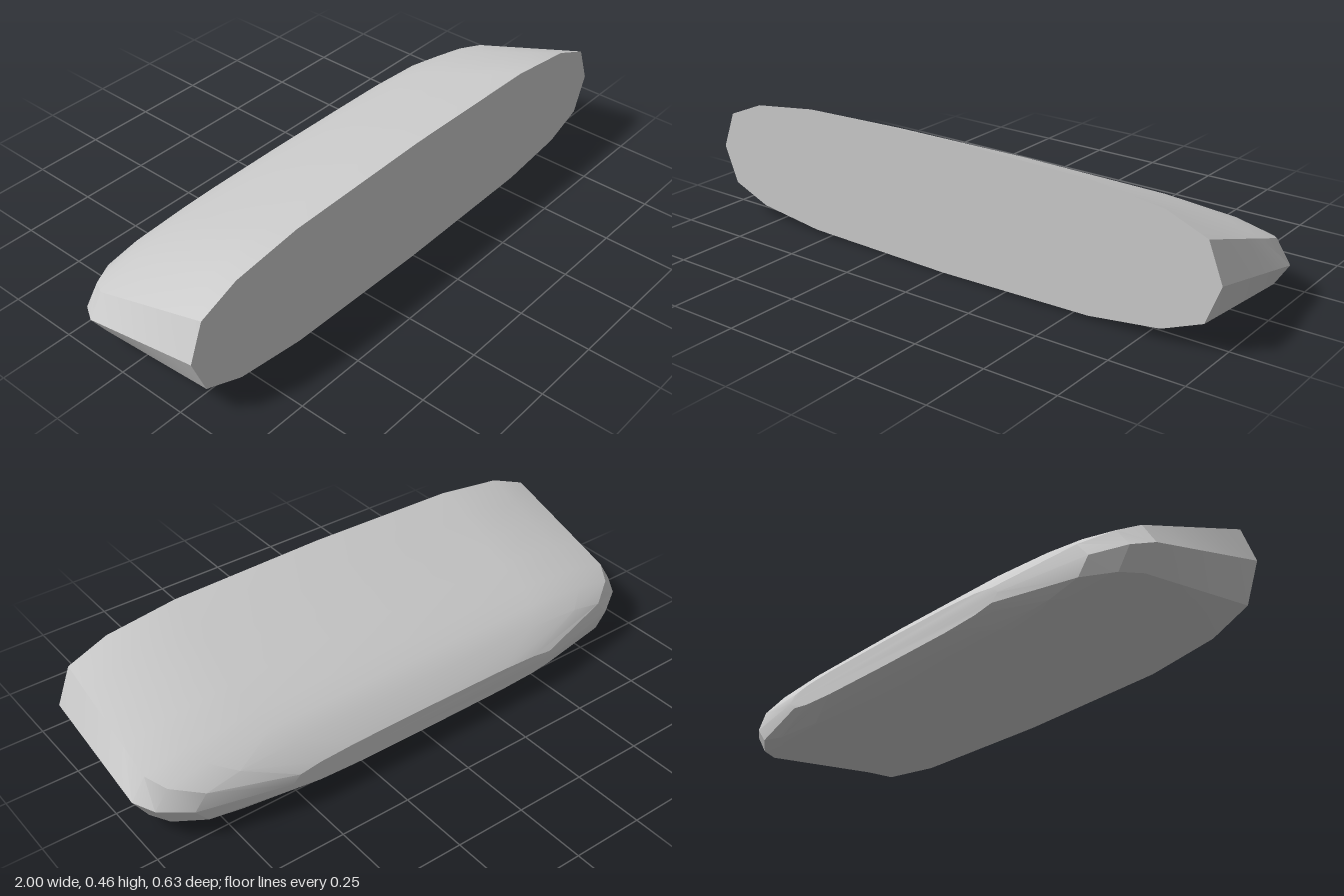
import * as THREE from 'three';
import { toCreasedNormals } from 'three/addons/utils/BufferGeometryUtils.js';

const lightGrey = new THREE.MeshStandardMaterial({ color: 0xcccccc });
lightGrey.name = 'lightGrey';

// Unit outline of a quarter section: x and y as fractions of the half sizes
const quarter = [[1, 0], [0.95, 0.565], [0.81, 0.815], [0.56, 0.955], [0, 1]];

// Full outline, counter-clockwise seen from the front
function outline() {
  const half = [...quarter, ...quarter.slice(0, -1).reverse().map(([x, y]) => [-x, y])];
  return [...half, ...half.slice(1, -1).reverse().map(([x, y]) => [x, -y])];
}

// Sections from front to back: z, half width, bottom, top
function sections() {
  const list = [];
  const steps = 4;
  for (let i = 0; i <= steps; i++) {
    const t = i / steps;
    list.push([0.315 - 0.44 * t, 1, 0, 0.457 - 0.185 * t]);
  }
  list.push([-0.19, 0.96, 0.007, 0.24], [-0.252, 0.86, 0.018, 0.204], [-0.315, 0.55, 0.055, 0.142]);
  return list;
}

function loft() {
  const ring = outline();
  const rows = sections();
  const n = ring.length;
  const positions = [];
  const index = [];
  for (const [z, w, bottom, top] of rows) {
    const mid = (top + bottom) / 2;
    const h = (top - bottom) / 2;
    for (const [x, y] of ring) positions.push(x * w, mid + y * h, z);
  }
  // Side walls
  for (let r = 0; r < rows.length - 1; r++) {
    for (let i = 0; i < n; i++) {
      const j = (i + 1) % n;
      const a = r * n + i, b = r * n + j, c = a + n, d = b + n;
      index.push(a, c, b, b, c, d);
    }
  }
  // Flat front and back caps
  const last = (rows.length - 1) * n;
  for (let i = 1; i < n - 1; i++) {
    index.push(0, i, i + 1);
    index.push(last, last + i + 1, last + i);
  }
  const geometry = new THREE.BufferGeometry();
  geometry.setAttribute('position', new THREE.Float32BufferAttribute(positions, 3));
  geometry.setIndex(index);
  return toCreasedNormals(geometry, 0.4);
}

export function createModel() {
  const model = new THREE.Group();
  model.name = 'taperedBlock';
  const body = new THREE.Mesh(loft(), lightGrey);
  body.name = 'body';
  model.add(body);
  return model;
}
